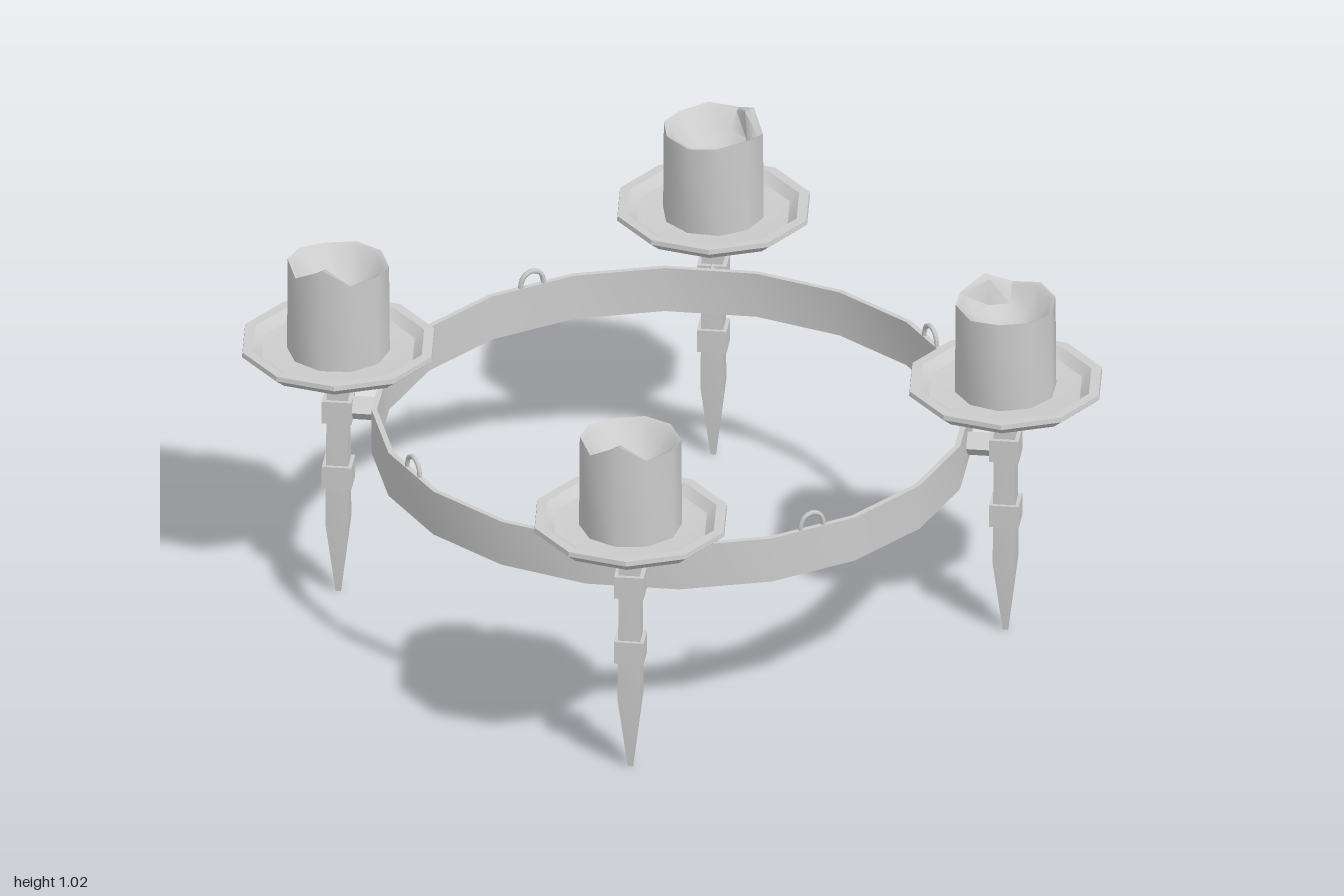
import * as THREE from 'three';
import { toCreasedNormals } from 'three/addons/utils/BufferGeometryUtils.js';

const deg = THREE.MathUtils.degToRad;
const material = new THREE.MeshStandardMaterial({ color: 0xcccccc });

function mesh(name, geometry, parent) {
  const m = new THREE.Mesh(geometry, material);
  m.name = name;
  parent.add(m);
  return m;
}

function lathe(points, sides, phase = 0) {
  return new THREE.LatheGeometry(points.map(([r, y]) => new THREE.Vector2(r, y)), sides, phase);
}

// Candle with a melted hollow, an uneven rim and one curled peak at the given angle
function candleGeometry(peakAngle) {
  const sides = 10;
  const profile = [[0, 0.73], [0.138, 0.73], [0.136, 0.985], [0.122, 0.978], [0.095, 0.935], [0.05, 0.91], [0, 0.905]];
  const rimLift = [0.037, 0.002, 0.008, -0.002, 0.004, 0.003, -0.003, 0.006, 0.012, -0.004];
  const g = lathe(profile, sides, peakAngle);
  const p = g.attributes.position;
  for (let i = 0; i < p.count; i++) {
    const ring = i % profile.length;
    const side = Math.floor(i / profile.length) % sides;
    if (ring !== 2 && ring !== 3) continue;
    const pinch = side === 0 ? (ring === 2 ? 0.87 : 0.75) : 1;
    p.setXYZ(i, p.getX(i) * pinch, p.getY(i) + rimLift[side], p.getZ(i) * pinch);
  }
  return toCreasedNormals(g, 0.9);
}

// Spike, collars, arm, drip dish and candle; local +z points away from the hoop
function candleHolder(angle, peakAngle) {
  const turn = new THREE.Group();
  turn.name = 'candleHolder';
  turn.rotation.y = angle;
  const holder = new THREE.Group();
  holder.position.z = 0.9;
  turn.add(holder);

  const spike = [[0, 0], [0.01, 0], [0.044, 0.21], [0.039, 0.72]];
  mesh('spike', toCreasedNormals(lathe(spike, 4, Math.PI / 4), 0.3), holder);
  for (const y of [0.358, 0.555]) {
    mesh('collar', new THREE.BoxGeometry(0.08, 0.065, 0.08), holder).position.y = y;
  }
  const arm = mesh('arm', new THREE.BoxGeometry(0.05, 0.05, 0.11), holder);
  arm.position.set(0, 0.555, -0.047);
  arm.rotation.z = Math.PI / 4;

  const dish = [[0, 0.715], [0.235, 0.715], [0.268, 0.742], [0.266, 0.755], [0.238, 0.755],
    [0.212, 0.733], [0.18, 0.73], [0, 0.73]];
  mesh('dripDish', toCreasedNormals(lathe(dish, 10, deg(5) - angle), 0.5), holder);
  mesh('candle', candleGeometry(peakAngle - angle), holder);
  return turn;
}

export function createModel() {
  const model = new THREE.Group();
  model.name = 'candleChandelier';

  // Flat iron hoop with twenty sides
  const band = [[0.79, 0.485], [0.805, 0.485], [0.805, 0.615], [0.79, 0.615], [0.79, 0.485]];
  mesh('hoop', toCreasedNormals(lathe(band, 20, deg(9)), 0.6), model);

  // Hanging loops on the four sides of the hoop
  const loopPath = new THREE.CatmullRomCurve3([[-0.034, 0.59], [-0.034, 0.625], [-0.024, 0.648], [0, 0.658],
    [0.024, 0.648], [0.034, 0.625], [0.034, 0.59]].map(([x, y]) => new THREE.Vector3(x, y, 0.787)));
  const loopGeometry = new THREE.TubeGeometry(loopPath, 14, 0.007, 6);
  for (let i = 0; i < 4; i++) {
    mesh('hangingLoop', loopGeometry, model).rotation.y = i * Math.PI / 2;
  }

  // Four candle holders, each with its rim peak turned its own way
  [180, 85, -50, -45].forEach((peak, i) => {
    model.add(candleHolder(deg(54.5 + 90 * i), deg(peak)));
  });
  return model;
}
